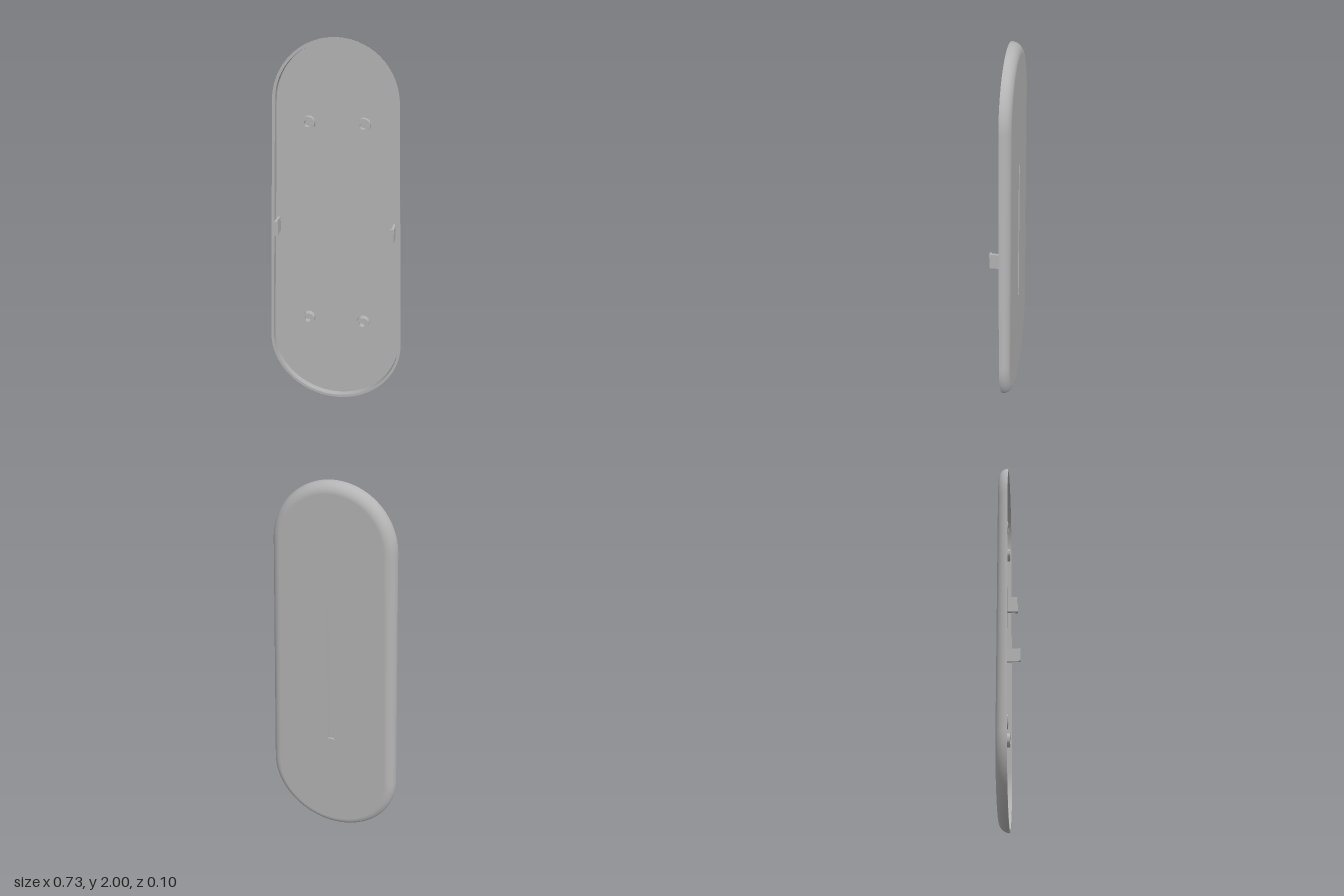
import * as THREE from 'three';
import { toCreasedNormals } from 'three/addons/utils/BufferGeometryUtils.js';

const BACK = -0.053, FLOOR = -0.034, WALL = 0.015;
const LOW = { r: 0.365, y: 0.365 }, HIGH = { r: 0.317, y: 1.683 };
const ARC = 48;

// Directions around the tapered outline, counter-clockwise, with the end circle each belongs to
function outlineRays() {
  const tilt = Math.asin((LOW.r - HIGH.r) / (HIGH.y - LOW.y));
  const rays = [];
  for (let i = 0; i <= ARC; i++) {
    rays.push({ c: HIGH, a: tilt + (Math.PI - 2 * tilt) * i / ARC });
  }
  for (let i = 0; i <= ARC; i++) {
    rays.push({ c: LOW, a: Math.PI - tilt + (Math.PI + 2 * tilt) * i / ARC });
  }
  return rays;
}
const RAYS = outlineRays();

// Outline moved inwards by an even distance
function outline(inset) {
  return RAYS.map(({ c, a }) => new THREE.Vector2(
    Math.cos(a) * (c.r - inset), c.y + Math.sin(a) * (c.r - inset)));
}

// Band through rings of { inset, z, out, nz }; out and nz give the surface normal
function band(rings) {
  const pos = [], nor = [], idx = [], n = RAYS.length;
  rings.forEach(({ inset, z, out, nz }, k) => {
    outline(inset).forEach((p, i) => {
      pos.push(p.x, p.y, z);
      nor.push(Math.cos(RAYS[i].a) * out, Math.sin(RAYS[i].a) * out, nz);
      if (k + 1 < rings.length) {
        const j = (i + 1) % n, a = k * n, b = a + n;
        idx.push(a + i, b + i, a + j, b + i, b + j, a + j);
      }
    });
  });
  const g = new THREE.BufferGeometry();
  g.setAttribute('position', new THREE.Float32BufferAttribute(pos, 3));
  g.setAttribute('normal', new THREE.Float32BufferAttribute(nor, 3));
  g.setIndex(idx);
  return g;
}

export function createModel() {
  const group = new THREE.Group();
  const grey = new THREE.MeshStandardMaterial({ color: 0xb4b4b4 });
  grey.name = 'grey';
  const add = (name, geometry, x = 0, y = 0, z = 0) => {
    const mesh = new THREE.Mesh(geometry, grey);
    mesh.name = name;
    mesh.position.set(x, y, z);
    group.add(mesh);
  };

  // Rounded outer edge, a quarter circle from the rim to the back
  const edge = [];
  for (let i = 0; i <= 14; i++) {
    const t = i / 14 * Math.PI / 2, r = -BACK;
    edge.push({ inset: r * (1 - Math.cos(t)), z: -r * Math.sin(t), out: Math.cos(t), nz: -Math.sin(t) });
  }
  add('roundedEdge', band(edge));

  // Rim, inner wall and floor of the open front
  add('rim', band([{ inset: WALL, z: 0, out: 0, nz: 1 }, { inset: 0, z: 0, out: 0, nz: 1 }]));
  add('innerWall', band([{ inset: WALL, z: FLOOR, out: -1, nz: 0 }, { inset: WALL, z: 0, out: -1, nz: 0 }]));
  add('floor', new THREE.ShapeGeometry(new THREE.Shape(outline(WALL))), 0, 0, FLOOR);

  // Flat back with a long shallow groove
  const gw = 0.034, gh = 0.79, gd = 0.01, gy = 1;
  const back = new THREE.Shape(outline(-BACK));
  back.holes.push(new THREE.Path([[-1, -1], [-1, 1], [1, 1], [1, -1]].map(
    ([sx, sy]) => new THREE.Vector2(sx * gw / 2, gy + sy * gh / 2))));
  add('backPlate', new THREE.ShapeGeometry(back).rotateY(Math.PI), 0, 0, BACK);

  // Groove lining: a box turned inside out, without its back face
  const groove = new THREE.BoxGeometry(gw, gh, gd).scale(-1, 1, 1);
  groove.setIndex(Array.from(groove.index.array).slice(0, 30));
  groove.clearGroups();
  groove.computeVertexNormals();
  add('groove', groove, 0, gy, BACK + gd / 2);

  // Hollow screw posts
  const ring = new THREE.Shape().absarc(0, 0, 0.035, 0, Math.PI * 2);
  ring.holes.push(new THREE.Path().absarc(0, 0, 0.018, 0, Math.PI * 2, true));
  const post = toCreasedNormals(new THREE.ExtrudeGeometry(ring,
    { depth: 0.031, bevelEnabled: false, curveSegments: 20 }), 0.6);

  // Hooked clip, pointing inwards
  const hook = new THREE.Shape([[0.3, FLOOR], [0.313, FLOOR], [0.313, 0.05], [0.293, 0.05],
    [0.293, 0.039], [0.3, 0.039]].map(([x, z]) => new THREE.Vector2(x, -z)));
  const clip = new THREE.ExtrudeGeometry(hook, { depth: 0.079, bevelEnabled: false });
  clip.rotateX(-Math.PI / 2).translate(0, -0.0395, 0);

  for (const side of [1, -1]) {
    const name = side > 0 ? 'left' : 'right';
    add(name + 'UpperPost', post, side * 0.14, 1.58, FLOOR);
    add(name + 'LowerPost', post, side * 0.152, 0.485, FLOOR);
    add(name + 'Clip', side > 0 ? clip : clip.clone().rotateY(Math.PI).rotateX(Math.PI), 0, 1.027, 0);
  }
  return group;
}
